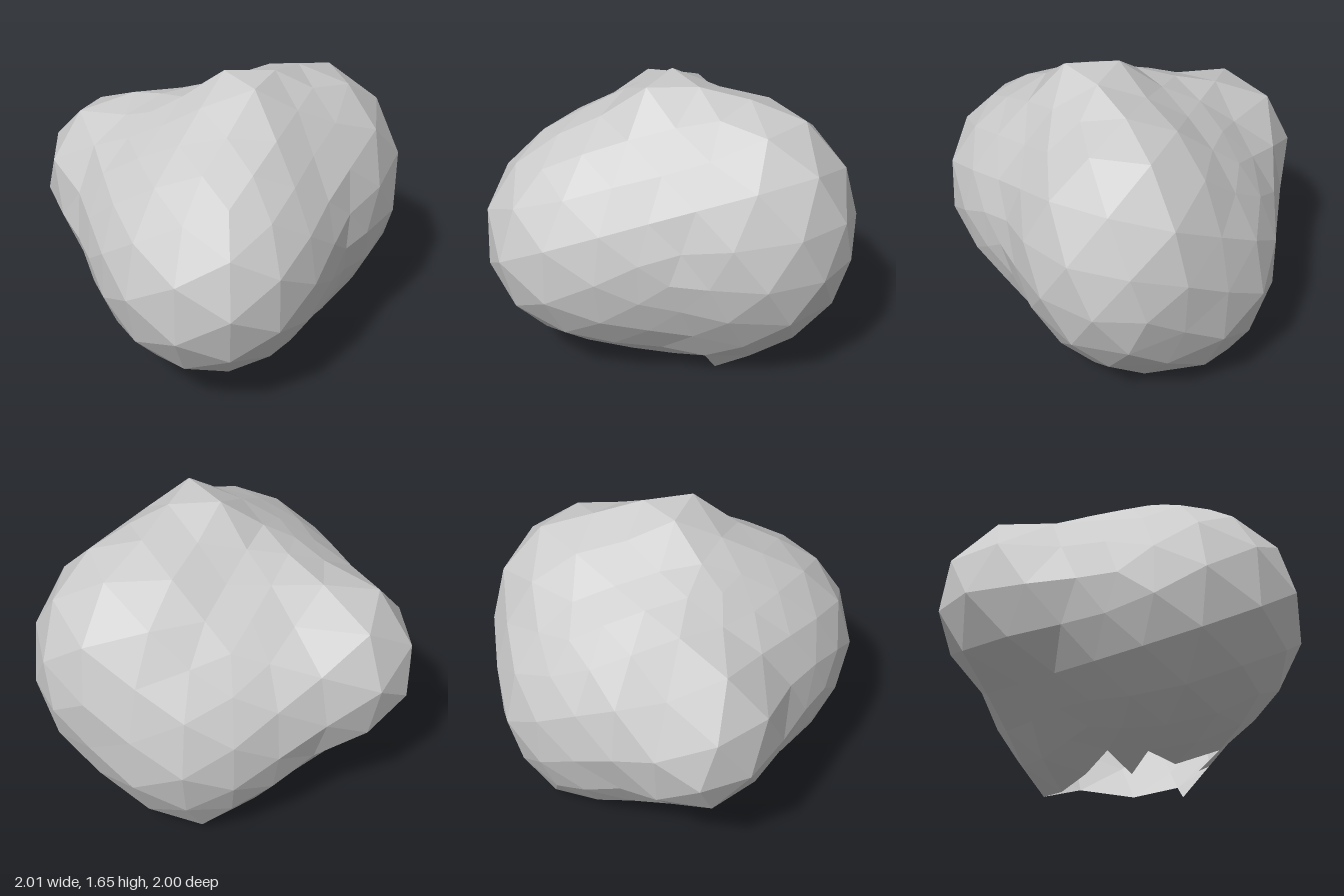
import * as THREE from 'three';

// Overlapping ellipsoid lobes: centre and radii
const LOBES = [
  { c: [-0.08, 0.75, 0.2], r: [0.65, 0.66, 0.8] },     // front
  { c: [0.46, 0.85, -0.29], r: [0.55, 0.7, 0.54] },    // left
  { c: [-0.6, 0.86, -0.38], r: [0.41, 0.46, 0.43] },   // right
  { c: [0.17, 0.62, -0.35], r: [0.64, 0.68, 0.65] },   // back
  { c: [0.12, 0.98, 0.05], r: [0.34, 0.71, 0.4] },     // crown
  { c: [0.48, 0.11, -0.05], r: [0.1, 0.11, 0.1] },     // low tip, left
  { c: [0.2, 0.11, -0.71], r: [0.12, 0.11, 0.1] },     // low tip, back
].map(({ c, r }) => ({ c: new THREE.Vector3(...c), r: new THREE.Vector3(...r) }));

const CORE = new THREE.Vector3(0, 0.77, -0.05);
const TAUT = 0.7; // how tightly the skin bridges the valleys between lobes

// Unit directions at the corners of a subdivided ball, three per face
function ballDirections(detail) {
  const ball = new THREE.IcosahedronGeometry(1, detail).getAttribute('position');
  return Array.from({ length: ball.count }, (_, i) => new THREE.Vector3().fromBufferAttribute(ball, i).normalize());
}

// Planes that touch the lobes from outside, as normal and distance from the core
const PLANES = ballDirections(9).map((n) => ({
  n,
  h: Math.max(...LOBES.map(({ c, r }) => c.clone().sub(CORE).dot(n) + r.clone().multiply(n).length())),
}));

// Farthest hit of a ray from the core with one lobe
function reach(dir, lobe) {
  const o = CORE.clone().sub(lobe.c).divide(lobe.r);
  const d = dir.clone().divide(lobe.r);
  const a = d.dot(d), b = o.dot(d), k = o.dot(o) - 1;
  const disc = b * b - a * k;
  return disc < 0 ? 0 : (-b + Math.sqrt(disc)) / a;
}

// Distance to a tight wrapping stretched around all lobes
function wrap(dir) {
  let best = Infinity;
  for (const { n, h } of PLANES) {
    const cos = n.dot(dir);
    if (cos > 0.2) best = Math.min(best, h / cos);
  }
  return best;
}

// Skin between the bare lobes and the tight wrapping
function skinPoint(dir) {
  const bare = Math.max(...LOBES.map((lobe) => reach(dir, lobe)));
  const radius = THREE.MathUtils.lerp(bare, wrap(dir), TAUT) * 1.005;
  const p = dir.clone().multiplyScalar(radius).add(CORE);
  p.y = Math.max(p.y, 0);
  return p;
}

// Ragged opening underneath
const inOpening = (p) => p.y < 0.35 && Math.hypot((p.x - 0.2) / 0.34, (p.z + 0.25) / 0.5) < 1;

export function createModel() {
  const group = new THREE.Group();
  group.name = 'lumpyCanopy';

  // Faceted shell, left open underneath
  const points = ballDirections(3).map(skinPoint);
  const positions = [];
  for (let i = 0; i < points.length; i += 3) {
    const [a, b, c] = points.slice(i, i + 3);
    const middle = a.clone().add(b).add(c).divideScalar(3);
    if (!inOpening(middle)) positions.push(...a, ...b, ...c);
  }
  const geometry = new THREE.BufferGeometry();
  geometry.setAttribute('position', new THREE.Float32BufferAttribute(positions, 3));
  geometry.computeVertexNormals();

  const shell = new THREE.Mesh(geometry, new THREE.MeshStandardMaterial({
    color: 0xcccccc, flatShading: true, side: THREE.DoubleSide,
  }));
  shell.name = 'canopyShell';
  group.add(shell);
  return group;
}
